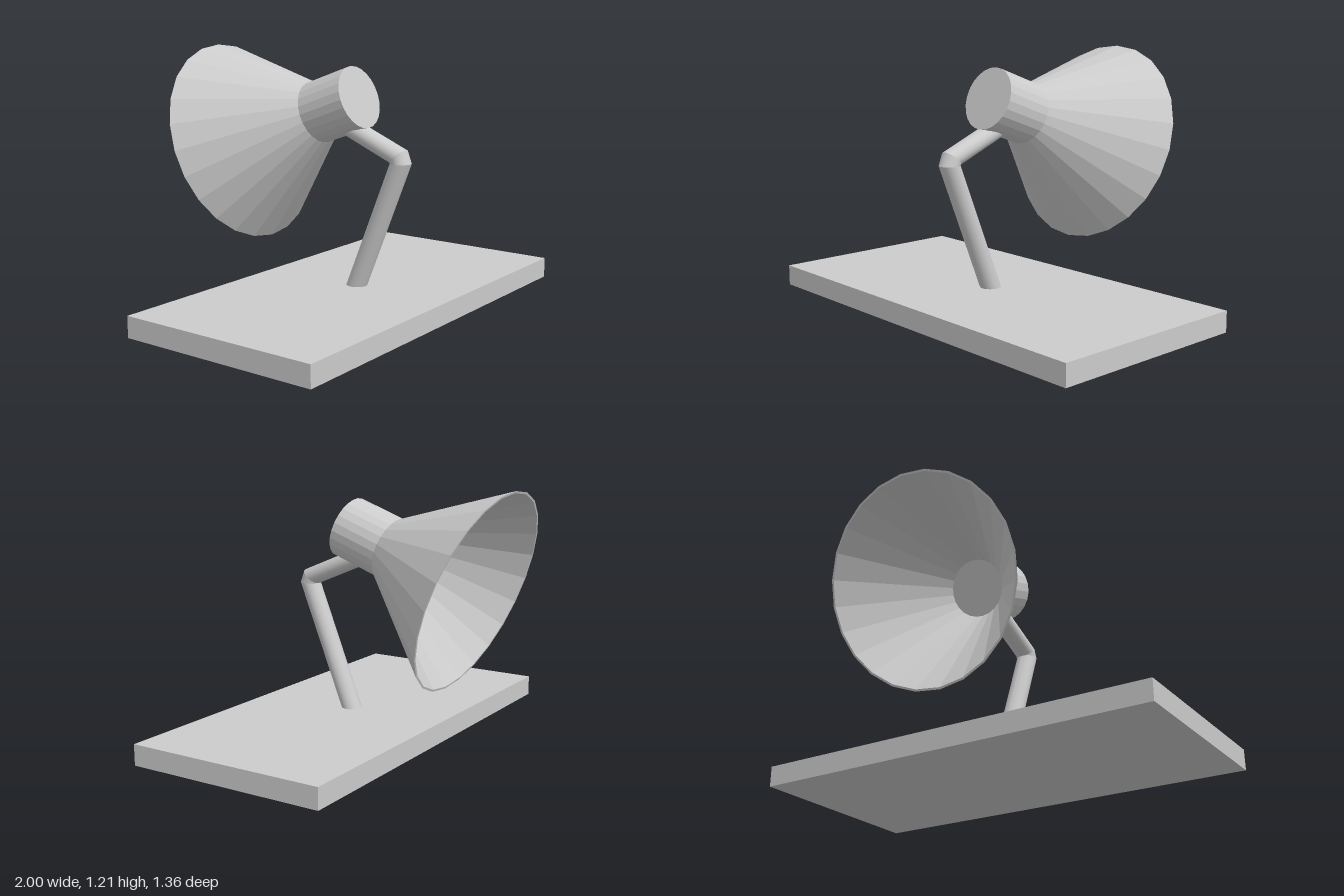
import * as THREE from 'three';

const SIDES = 24;
const smooth = new THREE.MeshStandardMaterial({ color: 0xcccccc });
const faceted = new THREE.MeshStandardMaterial({ color: 0xcccccc, flatShading: true });
const thin = new THREE.MeshStandardMaterial({ color: 0xcccccc, flatShading: true, side: THREE.DoubleSide });

function part(name, geometry, material) {
  const mesh = new THREE.Mesh(geometry, material);
  mesh.name = name;
  return mesh;
}

// Open tube between two circular sections; each has a centre (y, z) and a tilt about x.
function tubeBetween(lower, upper, radius = 0.05) {
  const geo = new THREE.CylinderGeometry(radius, radius, 1, SIDES, 1, true, Math.PI);
  const pos = geo.attributes.position;
  for (let i = 0; i < pos.count; i++) {
    const s = pos.getY(i) > 0 ? upper : lower;
    const z = pos.getZ(i);
    pos.setXYZ(i, pos.getX(i), s.y + z * Math.sin(s.tilt), s.z + z * Math.cos(s.tilt));
  }
  geo.computeVertexNormals();
  return geo;
}

export function createModel() {
  const model = new THREE.Group();
  model.name = 'deskLamp';

  // Flat rectangular base
  const base = part('base', new THREE.BoxGeometry(2, 0.1, 1), faceted);
  base.position.set(0, 0.05, 0.18);
  model.add(base);

  // Bent arm: slanted post, wedge-shaped elbow, short upper arm running into the lamp head
  const bend = THREE.MathUtils.degToRad(40);
  const sections = [
    { y: 0.1, z: 0.185, tilt: 0 },
    { y: 0.707, z: 0.425, tilt: 0 },
    { y: 0.738, z: 0.413, tilt: bend },
    { y: 0.856, z: 0.133, tilt: bend },
  ];
  const arm = new THREE.Group();
  arm.name = 'arm';
  ['lowerArm', 'elbow', 'upperArm'].forEach((name, i) => {
    arm.add(part(name, tubeBetween(sections[i], sections[i + 1]), smooth));
  });
  model.add(arm);

  // Lamp head, built along +y from its closed end, then tipped to point back and down
  const head = new THREE.Group();
  head.name = 'lampHead';
  const socket = part('socket', new THREE.CylinderGeometry(0.15, 0.15, 0.25, SIDES), faceted);
  socket.position.y = 0.125;
  head.add(socket);

  // Thin-walled conical shade
  const profile = [[0.15, 0.25], [0.5, 0.75], [0.49, 0.75], [0.14, 0.25]]
    .map(([r, y]) => new THREE.Vector2(r, y));
  head.add(part('shade', new THREE.LatheGeometry(profile, SIDES), thin));

  head.rotation.x = THREE.MathUtils.degToRad(-110);
  head.position.set(0, 0.996, 0.194);
  model.add(head);

  return model;
}
